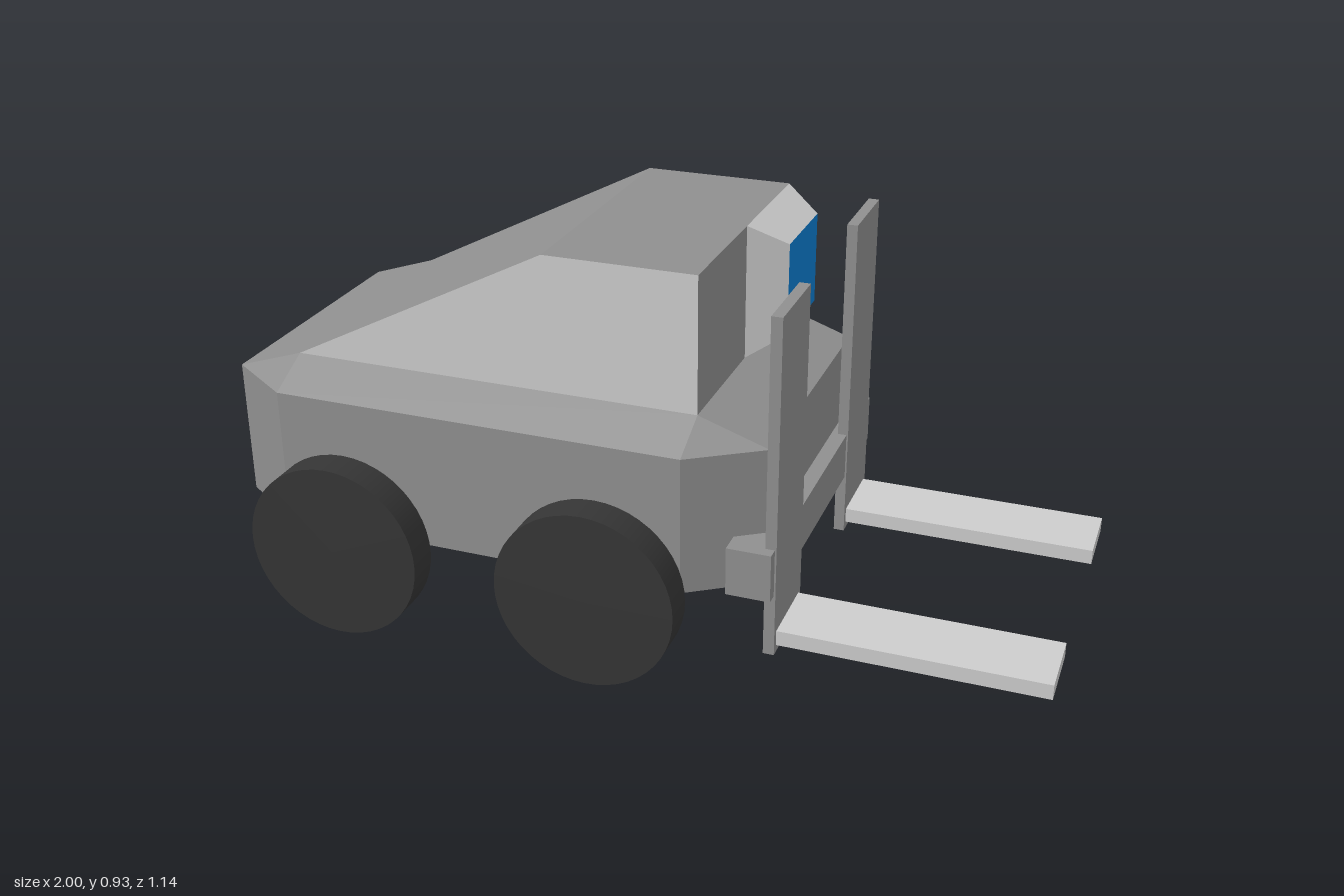
import * as THREE from 'three';
import { ConvexGeometry } from 'three/addons/geometries/ConvexGeometry.js';

const mat = (name, color) => {
  const m = new THREE.MeshStandardMaterial({ color });
  m.name = name;
  return m;
};

export function createModel() {
  const grey = mat('body grey', 0x8f8f8f);
  const light = mat('light grey', 0xcccccc);
  const blue = mat('window blue', 0x0d7dd1);
  const black = mat('tyre black', 0x353535);

  const model = new THREE.Group();
  model.name = 'forkliftTruck';
  const add = (name, geometry, material) => {
    const mesh = new THREE.Mesh(geometry, material);
    mesh.name = name;
    model.add(mesh);
    return mesh;
  };
  // Box given by its limits on each axis
  const box = (x0, x1, y0, y1, z0, z1) =>
    new THREE.BoxGeometry(x1 - x0, y1 - y0, z1 - z0)
      .translate((x0 + x1) / 2, (y0 + y1) / 2, (z0 + z1) / 2);

  // Chassis: a box with every edge chamfered, as the hull of three boxes
  const corners = [];
  const addCorners = (xs, ys, z) => {
    for (const x of xs) for (const y of ys) for (const s of [-1, 1]) corners.push(new THREE.Vector3(x, y, s * z));
  };
  addCorners([-1, 0.338], [0.207, 0.542], 0.335);
  addCorners([-0.832, 0.17], [0.207, 0.542], 0.447);
  addCorners([-0.832, 0.17], [0.152, 0.598], 0.335);
  add('chassis', new ConvexGeometry(corners), grey);

  // Cabin: wedge profile with light side panels and a grey shell
  const profile = new THREE.Shape([
    [-0.832, 0.598], [0.17, 0.598], [0.17, 0.926], [-0.195, 0.926],
  ].map(([x, y]) => new THREE.Vector2(x, y)));
  const cabin = new THREE.ExtrudeGeometry(profile, { depth: 0.67, bevelEnabled: false });
  add('cabin', cabin.translate(0, 0, -0.335), [light, grey]);

  // Window housing: box tapering forwards to a blue pane
  const housing = new THREE.BoxGeometry(0.088, 0.328, 0.335);
  const p = housing.attributes.position;
  for (let i = 0; i < p.count; i++) {
    if (p.getX(i) < 0) continue;
    p.setY(i, p.getY(i) - Math.sign(p.getY(i)) * 0.051);
    p.setZ(i, p.getZ(i) - Math.sign(p.getZ(i)) * 0.051);
  }
  housing.computeVertexNormals();
  housing.translate(0.214, 0.762, -0.1675);
  add('windowHousing', housing, [blue, light, light, light, light, light]);

  // Fork carriage, masts and forks
  add('carriage', box(0.272, 0.376, 0.219, 0.336, -0.434, 0.434), grey);
  for (const side of [-1, 1]) {
    const z0 = side > 0 ? 0.2 : -0.406;
    add('mast', box(0.354, 0.38, 0.065, 0.886, z0, z0 + 0.206), grey);
    add('fork', box(0.38, 1, 0.083, 0.12, z0 + 0.016, z0 + 0.191), light);
  }

  // Axles and wheels
  for (const x of [-0.645, -0.017]) {
    const axle = add('axle', new THREE.CylinderGeometry(0.065, 0.065, 1, 32).rotateX(Math.PI / 2), grey);
    axle.position.set(x, 0.228, 0);
    for (const side of [-1, 1]) {
      const wheel = add('wheel', new THREE.CylinderGeometry(0.214, 0.214, 0.08, 48).rotateX(Math.PI / 2), black);
      wheel.position.set(x, 0.215, side * 0.528);
    }
  }
  return model;
}
